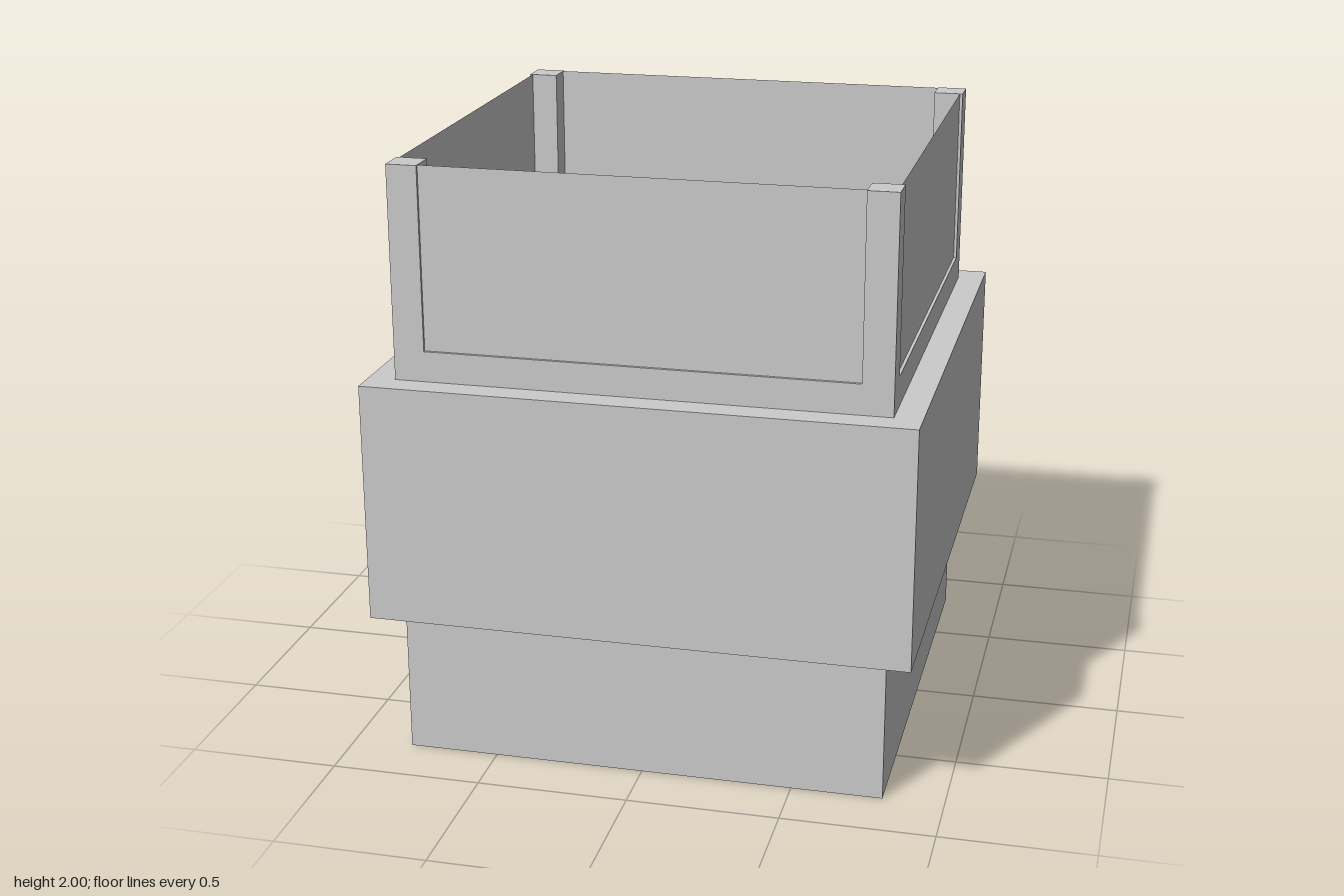
import * as THREE from 'three';

const material = new THREE.MeshStandardMaterial({ color: 0xcccccc, flatShading: true });
const paneMaterial = new THREE.MeshStandardMaterial({ color: 0xcccccc, side: THREE.DoubleSide });

const OUTER = 0.8;   // half width of the box
const INNER = 0.7;   // half width of the cavity
const BAND = 0.89;   // half width of the middle band
const FLOOR = 0.1, RIM = 1.4, TOP = 2;

function square(half, Type) {
  return new Type([
    new THREE.Vector2(-half, -half), new THREE.Vector2(half, -half),
    new THREE.Vector2(half, half), new THREE.Vector2(-half, half),
  ]);
}

// Square tube standing between two heights
function squareRing(name, outer, inner, y0, y1) {
  const shape = square(outer, THREE.Shape);
  shape.holes.push(square(inner, THREE.Path));
  const geometry = new THREE.ExtrudeGeometry(shape, { depth: y1 - y0, bevelEnabled: false });
  geometry.rotateX(-Math.PI / 2).translate(0, y0, 0);
  const mesh = new THREE.Mesh(geometry, material);
  mesh.name = name;
  return mesh;
}

export function createModel() {
  const model = new THREE.Group();
  model.name = 'squareTank';

  // Floor and hollow lower body
  const floor = new THREE.Mesh(new THREE.BoxGeometry(2 * OUTER, FLOOR, 2 * OUTER), material);
  floor.name = 'floor';
  floor.position.y = FLOOR / 2;
  model.add(floor);
  model.add(squareRing('bodyWalls', OUTER, INNER, FLOOR, RIM));

  // Wide band around the middle
  model.add(squareRing('middleBand', BAND, OUTER, 0.5, 1.3));

  // Corner posts and the thin, slightly recessed panes between them
  const thick = OUTER - INNER, height = TOP - RIM, midY = (TOP + RIM) / 2;
  const postGeometry = new THREE.BoxGeometry(thick, height, thick);
  const paneGeometry = new THREE.PlaneGeometry(2 * INNER, height).translate(0, midY, OUTER - 0.01);
  for (let i = 0; i < 4; i++) {
    const side = new THREE.Group();
    side.name = 'upperSide' + (i + 1);
    side.rotation.y = i * Math.PI / 2;

    const post = new THREE.Mesh(postGeometry, material);
    post.name = 'cornerPost';
    post.position.set(INNER + thick / 2, midY, INNER + thick / 2);

    const pane = new THREE.Mesh(paneGeometry, paneMaterial);
    pane.name = 'pane';

    side.add(post, pane);
    model.add(side);
  }
  return model;
}
